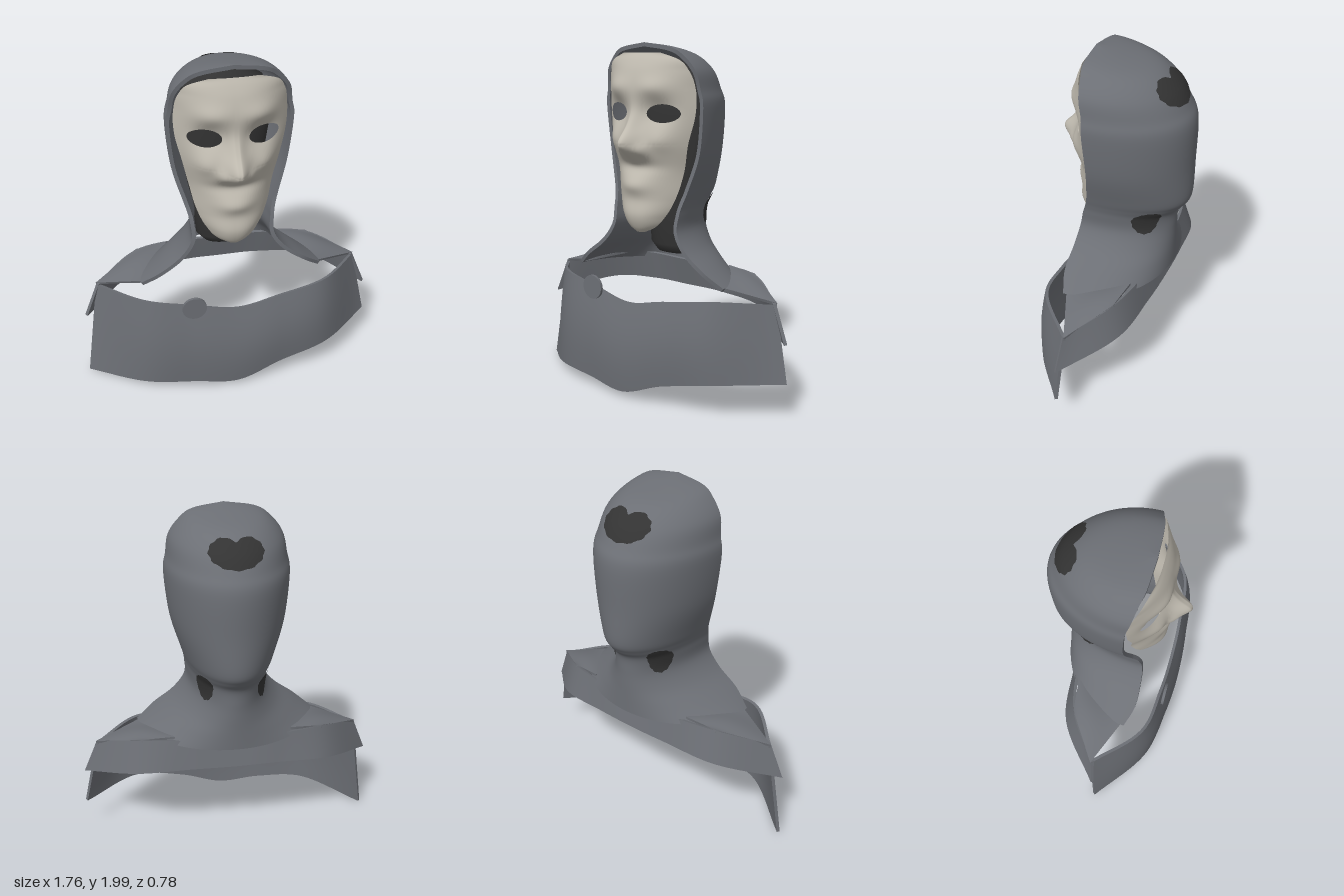
import * as THREE from 'three';
import { toCreasedNormals } from 'three/addons/utils/BufferGeometryUtils.js';

const V = (x, y, z) => new THREE.Vector3(x, y, z);

// Smooth curve through rows; the first number of each row is the key
function table(rows) {
  const size = rows[0].length - 1;
  const cubic = new THREE.CubicInterpolant(rows.map(r => r[0]), rows.flatMap(r => r.slice(1)), size);
  return t => [...cubic.evaluate(t)];
}

// Unit normal of a surface fn(u, v)
function normalAt(fn, u, v) {
  const e = 0.01;
  const c = t => THREE.MathUtils.clamp(t, e, 1 - e);
  u = c(u); v = c(v);
  const du = fn(u + e, v).sub(fn(u - e, v));
  const dv = fn(u, v + e).sub(fn(u, v - e));
  return du.cross(dv).normalize();
}

function build(points, index, crease) {
  const geo = new THREE.BufferGeometry();
  geo.setAttribute('position', new THREE.Float32BufferAttribute(points.flatMap(p => p.toArray()), 3));
  geo.setIndex(index);
  return toCreasedNormals(geo, crease);
}

// Cloth of thickness t under the surface fn(u, v), closed along its edges
function slab(fn, nu, nv, t) {
  const points = [], index = [], count = (nu + 1) * (nv + 1);
  for (const depth of [0, -t])
    for (let j = 0; j <= nv; j++)
      for (let i = 0; i <= nu; i++) {
        const u = i / nu, v = j / nv;
        points.push(fn(u, v).addScaledVector(normalAt(fn, u, v), depth));
      }
  const at = (i, j) => j * (nu + 1) + i;
  const quad = (a, b, c, d) => index.push(a, b, c, a, c, d);
  for (let j = 0; j < nv; j++)
    for (let i = 0; i < nu; i++) {
      const q = [at(i, j), at(i + 1, j), at(i + 1, j + 1), at(i, j + 1)];
      quad(...q);
      quad(...q.reverse().map(k => k + count));
    }
  const edge = (a, b) => quad(b, a, a + count, b + count);
  for (let i = 0; i < nu; i++) {
    edge(at(i, 0), at(i + 1, 0));
    edge(at(i + 1, nv), at(i, nv));
  }
  for (let j = 0; j < nv; j++) {
    edge(at(0, j + 1), at(0, j));
    edge(at(nu, j), at(nu, j + 1));
  }
  return build(points, index, 0.7);
}

// Hood: horizontal half-ellipse slices [y, half width, front z, back z]
const hoodSlices = [
  [2.0, 0, 0.18, 0.175], [1.975, 0.17, 0.17, 0.02], [1.93, 0.25, 0.15, -0.17],
  [1.85, 0.315, 0.13, -0.28], [1.75, 0.335, 0.11, -0.345], [1.65, 0.35, 0.105, -0.385],
  [1.4, 0.325, 0.1, -0.385], [1.2, 0.27, 0.13, -0.383], [1.13, 0.25, 0.15, -0.35],
  [1.07, 0.24, 0.17, -0.307], [0.97, 0.24, 0.19, -0.3], [0.87, 0.31, 0.2, -0.3],
  [0.78, 0.43, 0.2, -0.3], [0.7, 0.535, 0.16, -0.3],
];
const hoodSlice = table(hoodSlices.map((r, i) => [i / 13, ...r]));
function hoodPoint(u, v) {
  const [y, w, front, back] = hoodSlice(v);
  return V(-w * Math.cos(Math.PI * u), y, front + (back - front) * Math.sin(Math.PI * u));
}

// Thin worn patch lying on the hood
function hoodPatch(u0, row, ru, rows, notch) {
  const points = [], index = [], n = 48, m = 8;
  for (let j = 0; j <= m; j++)
    for (let i = 0; i <= n; i++) {
      const a = 2 * Math.PI * i / n;
      const cut = notch * Math.exp(-(((a - 1.5 * Math.PI) / 0.35) ** 2));
      const r = j / m * (1 - cut + 0.03 * Math.sin(13 * a));
      const u = u0 + ru * r * Math.cos(a), v = (row + rows * r * Math.sin(a)) / 13;
      points.push(hoodPoint(u, v).addScaledVector(normalAt(hoodPoint, u, v), 0.007));
      if (i < n && j < m) {
        const k = j * (n + 1) + i;
        index.push(k, k + n + 1, k + 1, k + 1, k + n + 1, k + n + 2);
      }
    }
  return build(points, index, 1);
}

// Band between two edge curves, each given as rows [key, x, y, z]
function band(startRows, endRows, bulge) {
  const start = table(startRows), end = table(endRows);
  return slab((u, v) => {
    const s = u * 2 - 1;
    const p = V(...start(s)).lerp(V(...end(s)), v);
    p.z += bulge * (1 - s * s) * Math.sin(Math.PI * v);
    return p;
  }, 48, 10, 0.018);
}
// Mirrors the rows of one half (centre row first) to the other side
const mirrored = rows => [
  ...rows.slice(1).reverse().map(([k, x, y, z]) => [-k, -x, y, z]), ...rows,
];

// Face mask: rows [y, half width, edge z, centre z without the nose]
const maskRow = table([
  [0.955, 0.03, 0.215, 0.23], [0.98, 0.085, 0.205, 0.25], [1.05, 0.15, 0.18, 0.275],
  [1.15, 0.198, 0.15, 0.262], [1.3, 0.235, 0.12, 0.262], [1.45, 0.268, 0.13, 0.28],
  [1.62, 0.305, 0.112, 0.268], [1.75, 0.305, 0.112, 0.275], [1.85, 0.28, 0.14, 0.255],
  [1.91, 0.23, 0.17, 0.23], [1.945, 0.13, 0.2, 0.21],
]);
const bump = (x, y, cx, cy, sx, sy) => Math.exp(-(((x - cx) / sx) ** 2) - ((y - cy) / sy) ** 2);
function maskDepth(x, y) {
  const [w, edge, centre] = maskRow(y);
  const s = Math.min(1, Math.abs(x) / w), ax = Math.abs(x);
  const rise = 1 - s ** 2.4;
  return edge + (centre - edge) * rise
    + 0.105 * bump(x, y, 0, 1.455, 0.06, 0.075)
    + 0.03 * bump(x, y, 0, 1.56, 0.04, 0.08)
    + 0.025 * bump(ax, y, 0.075, 1.42, 0.035, 0.04)
    + rise * (0.03 * bump(ax, y, 0.18, 1.47, 0.07, 0.06)
      - 0.045 * bump(ax, y, 0.15, 1.63, 0.09, 0.07)
      + 0.02 * bump(ax, y, 0.15, 1.76, 0.1, 0.05)
      + 0.028 * bump(x, y, 0, 1.22, 0.11, 0.05)
      - 0.025 * bump(x, y, 0, 1.33, 0.16, 0.04));
}
function maskGeometry() {
  const nu = 72, nv = 100, points = [], index = [], open = [];
  for (let j = 0; j <= nv; j++)
    for (let i = 0; i <= nu; i++) {
      let y = 0.955 + 0.99 * j / nv;
      let x = (i / nu * 2 - 1) * maskRow(y)[0];
      // Vertices inside an eye are pushed out to its rim
      const side = x < 0 ? -1 : 1;
      const ex = x - side * 0.16, ey = y - 1.622;
      const r = Math.hypot(ex / 0.088, ey / 0.05);
      open.push(r < 1);
      if (r < 1 && r > 0.01) {
        x = side * 0.16 + ex / r;
        y = 1.622 + ey / r;
      }
      points.push(V(x, y, maskDepth(x, y)));
    }
  const face = (...f) => { if (!f.every(k => open[k])) index.push(...f); };
  for (let j = 0; j < nv; j++)
    for (let i = 0; i < nu; i++) {
      const a = j * (nu + 1) + i, d = a + nu + 1;
      face(a, a + 1, d + 1);
      face(a, d + 1, d);
    }
  return build(points, index, 1.2);
}

export function createModel() {
  const group = new THREE.Group();
  const material = (name, color) => {
    const m = new THREE.MeshStandardMaterial({ color, side: THREE.DoubleSide });
    m.name = name;
    return m;
  };
  const cloth = material('greyCloth', 0x6c6f75);
  const dark = material('darkLining', 0x333333);
  const ivory = material('ivoryMask', 0xc0bbb0);
  const add = (name, geometry, mat) => {
    const mesh = new THREE.Mesh(geometry, mat);
    mesh.name = name;
    group.add(mesh);
    return mesh;
  };

  add('hood', slab(hoodPoint, 64, 78, 0.022), cloth);
  add('crownPatch', hoodPatch(0.5, 2.95, 0.15, 0.8, 0.45), dark);
  add('rightNeckPatch', hoodPatch(0.265, 8.9, 0.067, 1.1, 0), dark);
  add('leftNeckPatch', hoodPatch(0.735, 8.9, 0.067, 1.1, 0), dark);
  add('mask', maskGeometry(), ivory);

  // Dark head and neck inside the hood
  const profile = [[0, 0.78], [0.12, 0.79], [0.165, 0.84], [0.18, 1.0], [0.22, 1.25],
    [0.27, 1.6], [0.22, 1.82], [0, 1.92]].map(p => new THREE.Vector2(...p));
  const head = add('innerHead', new THREE.LatheGeometry(profile, 40), dark);
  head.scale.z = 0.6;
  head.position.z = -0.1;

  // Sloping collar behind the shoulders
  add('backCollar', band(
    mirrored([[0, 0, 0.72, -0.21], [0.3, 0.25, 0.725, -0.205], [0.62, 0.53, 0.72, -0.15], [1, 0.785, 0.64, 0.03]]),
    mirrored([[0, 0, 0.555, -0.25], [0.3, 0.25, 0.555, -0.243], [0.62, 0.56, 0.53, -0.2], [1, 0.87, 0.43, 0.045]]),
    0), cloth);

  // Cloth over each shoulder
  for (const s of [1, -1]) {
    const top = (u, v) => {
      if (s < 0) u = 1 - u;
      const inner = V(0.51, 0.705, 0.15).lerp(V(0.34, 0.74, -0.17), v);
      const outer = V(0.79, 0.64, 0.025).lerp(V(0.53, 0.725, -0.15), v);
      const p = inner.lerp(outer, u);
      p.y += 0.02 * Math.sin(Math.PI * u) * Math.sin(Math.PI * v);
      p.x *= s;
      return p;
    };
    add(s > 0 ? 'leftShoulder' : 'rightShoulder', slab(top, 12, 12, 0.015), cloth);
  }

  // Chest panel with a slanting hem
  add('chestPanel', band(
    [[-1, -0.88, 0.01, 0.06], [-0.62, -0.55, 0.075, 0.31], [-0.3, -0.26, 0.072, 0.365], [0, 0, 0.05, 0.38],
      [0.3, 0.26, 0.14, 0.36], [0.62, 0.56, 0.205, 0.31], [1, 0.88, 0.215, 0.055]],
    mirrored([[0, 0, 0.57, 0.335], [0.3, 0.25, 0.615, 0.325], [0.62, 0.53, 0.655, 0.28], [1, 0.79, 0.63, 0.03]]),
    0.03), cloth);

  // Round clasp
  const clasp = add('clasp', new THREE.CylinderGeometry(0.07, 0.07, 0.016, 32), cloth);
  clasp.rotation.x = Math.PI / 2;
  clasp.position.set(-0.255, 0.615, 0.345);

  return group;
}
